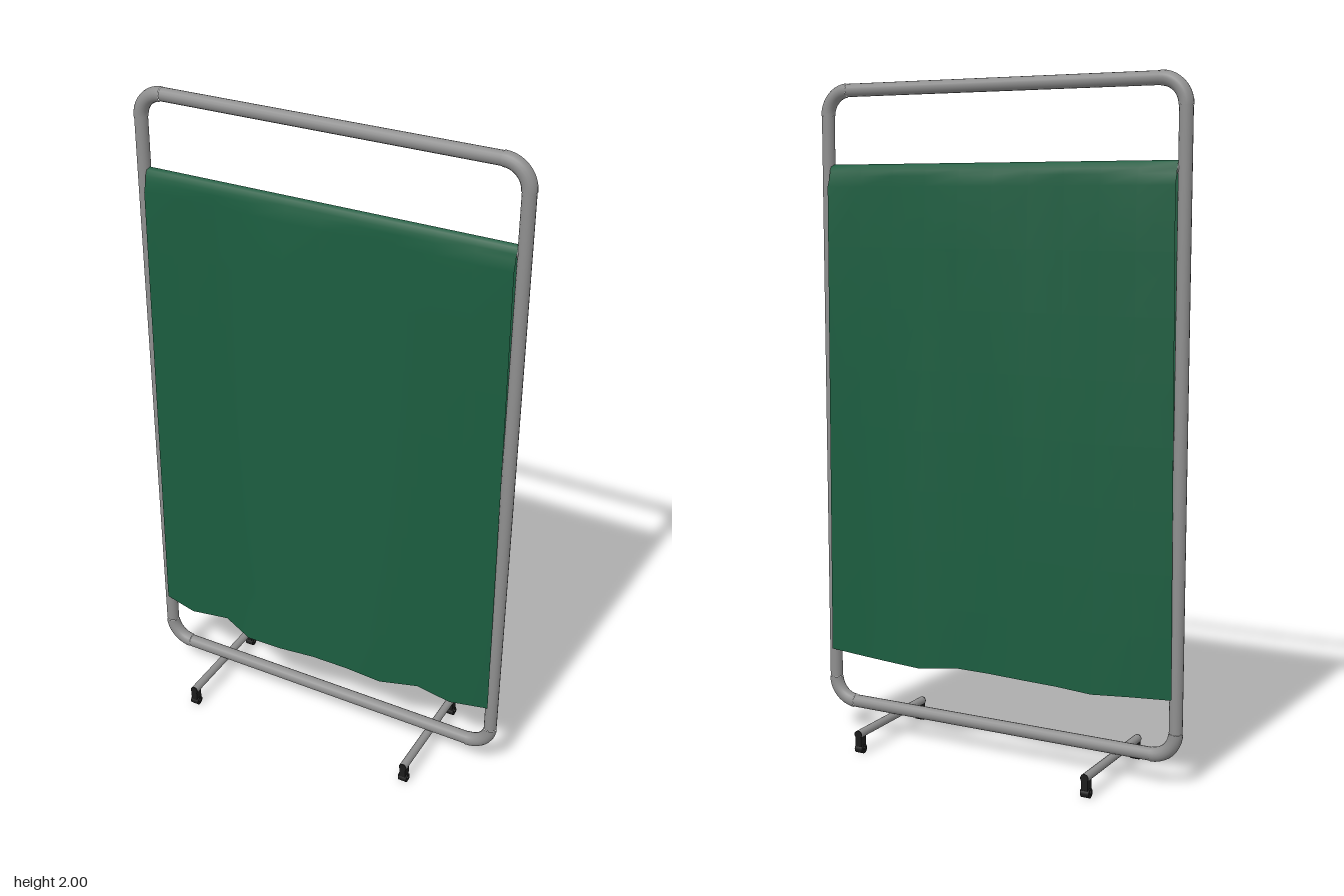
import * as THREE from 'three';

const mat = (name, color, side = THREE.FrontSide) =>
  Object.assign(new THREE.MeshStandardMaterial({ color, side }), { name });

export function createModel() {
  const root = new THREE.Group();
  root.name = 'foldingScreen';
  const metal = mat('greyMetal', 0x8f8f8f);
  const rubber = mat('blackRubber', 0x1c1c1c);
  const cloth = mat('greenCloth', 0x1b5c3f, THREE.DoubleSide);

  const add = (parent, name, geo, material, x = 0, y = 0, z = 0) => {
    const m = new THREE.Mesh(geo, material);
    m.name = name;
    m.position.set(x, y, z);
    parent.add(m);
    return m;
  };
  const rod = (r, len, axis = 'y', sides = 16) => {
    const g = new THREE.CylinderGeometry(r, r, len, sides);
    if (axis === 'x') g.rotateZ(Math.PI / 2);
    if (axis === 'z') g.rotateX(Math.PI / 2);
    return g;
  };

  // Tubular frame: straight tubes joined by slightly thicker quarter-circle bends
  const frame = new THREE.Group();
  frame.name = 'frame';
  root.add(frame);
  const R = 0.0195, bendR = 0.0212, X = 0.5755, Y0 = 0.0915, Y1 = 1.979, bend = 0.073;
  const midY = (Y0 + Y1) / 2;
  for (const s of [-1, 1]) {
    add(frame, 'sideTube', rod(R, Y1 - Y0 - 2 * bend), metal, s * X, midY);
    add(frame, s > 0 ? 'topTube' : 'bottomTube', rod(R, 2 * (X - bend), 'x'), metal, 0, s > 0 ? Y1 : Y0);
  }
  [[1, 1], [-1, 1], [-1, -1], [1, -1]].forEach(([sx, sy], i) => {
    const g = new THREE.TorusGeometry(bend, bendR, 16, 10, Math.PI / 2).rotateZ(i * Math.PI / 2);
    add(frame, 'cornerBend', g, metal, sx * (X - bend), sy > 0 ? Y1 - bend : Y0 + bend);
  });

  // Upper rod carrying the curtain and lower rod just above its hem
  add(root, 'upperRod', rod(0.015, 2 * X, 'x', 12), metal, 0, 1.74);
  add(root, 'lowerRod', rod(0.015, 2 * X, 'x', 12), metal, 0, 0.3);

  // Curtain hung over the rod; folds deepen from the rod to each hem
  const frontHem = [0.025, 0.052, 0.027, 0.083, 0.088, 0.075, 0.068, 0.068, 0.038, 0.051, 0.026];
  const backHem = [0.029, 0.05, 0.07, 0.058, 0.067, 0.058, 0.04, 0.075, 0.073, 0.04, 0.026];
  const hemY = [0.268, 0.266, 0.262, 0.264, 0.27, 0.27, 0.264, 0.257, 0.262, 0.256, 0.258];
  const wrap = [[1.761, 0], [1.755, 0.012], [1.74, 0.019], [1.725, 0.021]]; // y, z over the rod
  const rows = 8, half = rows + wrap.length, cols = hemY.length - 1;
  const curtain = new THREE.PlaneGeometry(1, 1, cols, half * 2);
  const p = curtain.attributes.position;
  for (let i = 0; i < p.count; i++) {
    const c = i % (cols + 1), r = Math.floor(i / (cols + 1)) - half;
    const k = Math.abs(r), u = c / cols * 2 - 1;
    const sign = Math.sign(r);                               // + front, - back
    const t = Math.max(0, (k - wrap.length) / rows);         // 0 near rod, 1 at hem
    const hem = (sign > 0 ? frontHem : backHem)[c];
    const nearRod = 0.027 + 0.006 * Math.cos(c * 1.3 + sign);
    const [y, z] = wrap[k] ?? [
      THREE.MathUtils.lerp(1.695, hemY[c], t),
      THREE.MathUtils.lerp(nearRod, hem, t),
    ];
    p.setXYZ(i, u * (0.56 + 0.012 * t), y, sign * z);
  }
  curtain.computeVertexNormals();
  add(root, 'curtain', curtain, cloth);

  // Crossbar feet with a small caster at each end
  for (const x of [-0.381, 0.371]) {
    const foot = new THREE.Group();
    foot.name = 'foot';
    foot.position.x = x;
    root.add(foot);
    add(foot, 'crossbar', rod(0.0125, 0.37, 'z'), metal, 0, 0.06, -0.003);
    for (const s of [-1, 1]) {
      const z = s * 0.174 - 0.002;
      add(foot, 'endCap', rod(0.0125, 0.004, 'z'), rubber, 0, 0.06, s * 0.186 - 0.003);
      add(foot, 'casterFork', new THREE.BoxGeometry(0.02, 0.03, 0.026), rubber, 0, 0.038, z);
      add(foot, 'wheel', rod(0.014, 0.026, 'x', 14), rubber, 0, 0.014, z);
      add(foot, 'axle', rod(0.006, 0.034, 'x', 8), rubber, 0, 0.016, z);
    }
  }
  return root;
}
